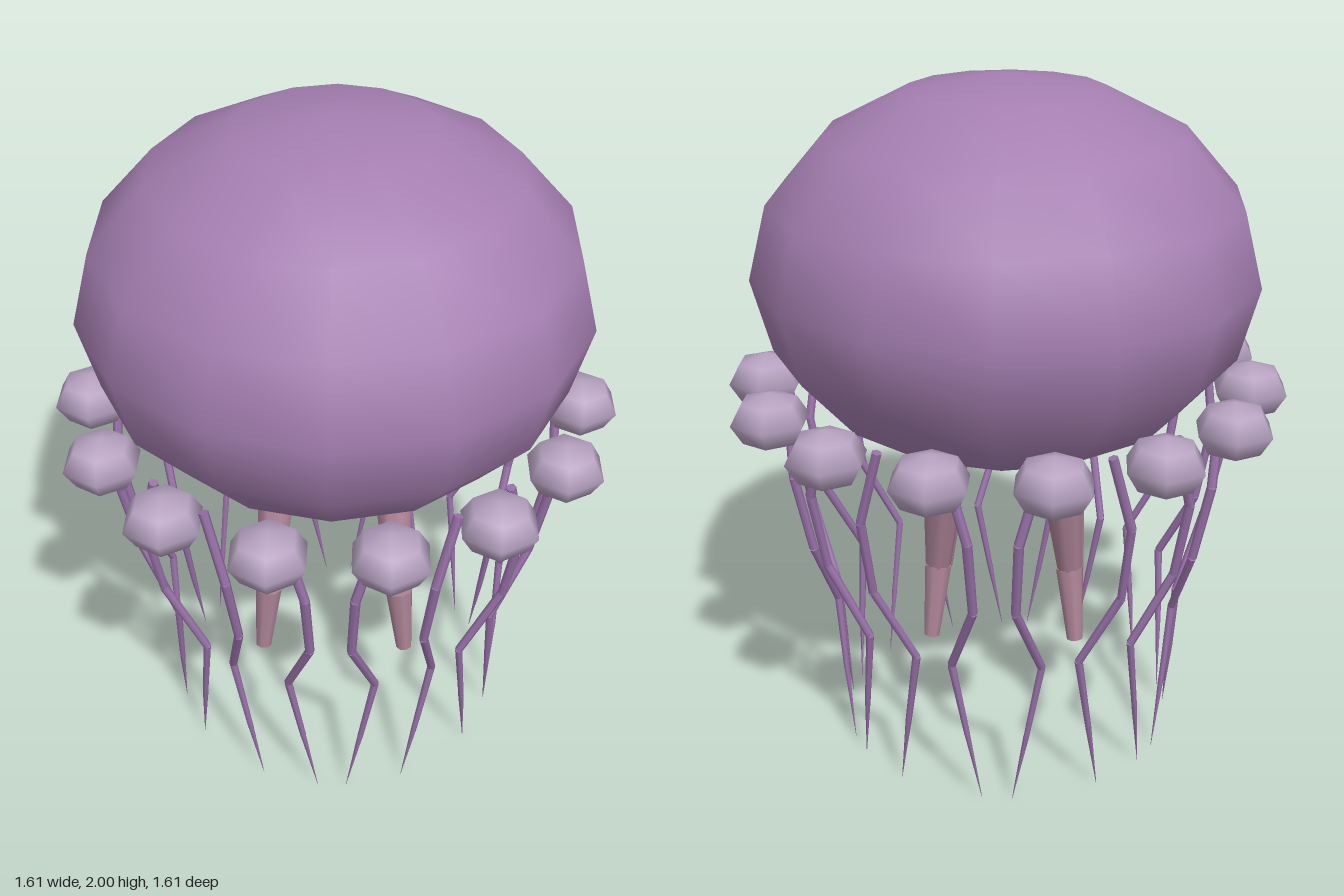
import * as THREE from 'three';

const material = (name, color) => {
  const m = new THREE.MeshStandardMaterial({ color });
  m.name = name;
  return m;
};

// Tapered rod from point a to point b
function rod(name, a, b, ra, rb, sides, mat) {
  const dir = b.clone().sub(a);
  const mesh = new THREE.Mesh(new THREE.CylinderGeometry(rb, ra, dir.length(), sides), mat);
  mesh.position.copy(a).add(b).multiplyScalar(0.5);
  mesh.quaternion.setFromUnitVectors(new THREE.Vector3(0, 1, 0), dir.normalize());
  mesh.name = name;
  return mesh;
}

export function createModel() {
  const bellMat = material('bell purple', 0xa57fb1);
  const budMat = material('pale lilac', 0xb7a2c1);
  const tentacleMat = material('tentacle violet', 0x9871a8);
  const armMat = material('dusky pink', 0xae8497);
  const model = new THREE.Group();
  model.name = 'jellyfish';

  // Squashed bell, with a vertex column facing front and back
  const bell = new THREE.Mesh(new THREE.SphereGeometry(1, 14, 8).rotateY(Math.PI / 2), bellMat);
  bell.scale.set(0.722, 0.55, 0.716);
  bell.position.y = 1.45;
  bell.name = 'bell';
  model.add(bell);

  // Rim buds, all facing the same way
  const budCount = 14;
  const budGeo = new THREE.SphereGeometry(1, 6, 4).rotateY(Math.PI / 2);
  for (let i = 0; i < budCount; i++) {
    const angle = (i / budCount) * Math.PI * 2;
    const bud = new THREE.Mesh(budGeo, budMat);
    bud.scale.set(0.115, 0.081, 0.115);
    bud.position.set(0.707 * Math.cos(angle), 1.097, 0.707 * Math.sin(angle));
    bud.name = 'rimBud';
    model.add(bud);
  }

  // Thin wavy tentacles: height, distance from axis, sway in degrees, thickness
  const path = [
    [1.12, 0.64, -1.5, 0.014],
    [0.9, 0.645, 4, 0.014],
    [0.67, 0.6, 4.5, 0.013],
    [0.45, 0.52, -4, 0.012],
    [0.22, 0.51, 0.5, 0.009],
    [0.0, 0.5, 5, 0.0005],
  ];
  // Sway direction of the nine tentacles on one side, from front to back
  const sways = [-1, -1, 1, 1, -1, 1, -1, -1, 1];
  for (const side of [-1, 1]) {
    sways.forEach((sway, i) => {
      const tentacle = new THREE.Group();
      tentacle.name = 'tentacle';
      const points = path.map(([y, r, twist]) => {
        const t = THREE.MathUtils.degToRad(10 + 20 * i + sway * twist);
        return new THREE.Vector3(side * r * Math.sin(t), y, r * Math.cos(t));
      });
      for (let k = 0; k < path.length - 1; k++) {
        tentacle.add(rod('tentacleSegment', points[k], points[k + 1], path[k][3], path[k + 1][3], 6, tentacleMat));
      }
      model.add(tentacle);
    });
  }

  // Four jointed arms under the bell, mirrored left and right
  for (const side of [-1, 1]) {
    for (const z of [[0.05, 0.235, 0.25], [-0.235, -0.15, -0.185]]) {
      const arm = new THREE.Group();
      arm.name = 'oralArm';
      const top = new THREE.Vector3(side * 0.155, 1.02, z[0]);
      const joint = new THREE.Vector3(side * 0.195, 0.575, z[1]);
      const tip = new THREE.Vector3(side * 0.215, 0.355, z[2]);
      arm.add(rod('upperArm', top, joint, 0.07, 0.037, 8, armMat));
      arm.add(rod('lowerArm', joint, tip, 0.041, 0.024, 8, armMat));
      model.add(arm);
    }
  }
  return model;
}
